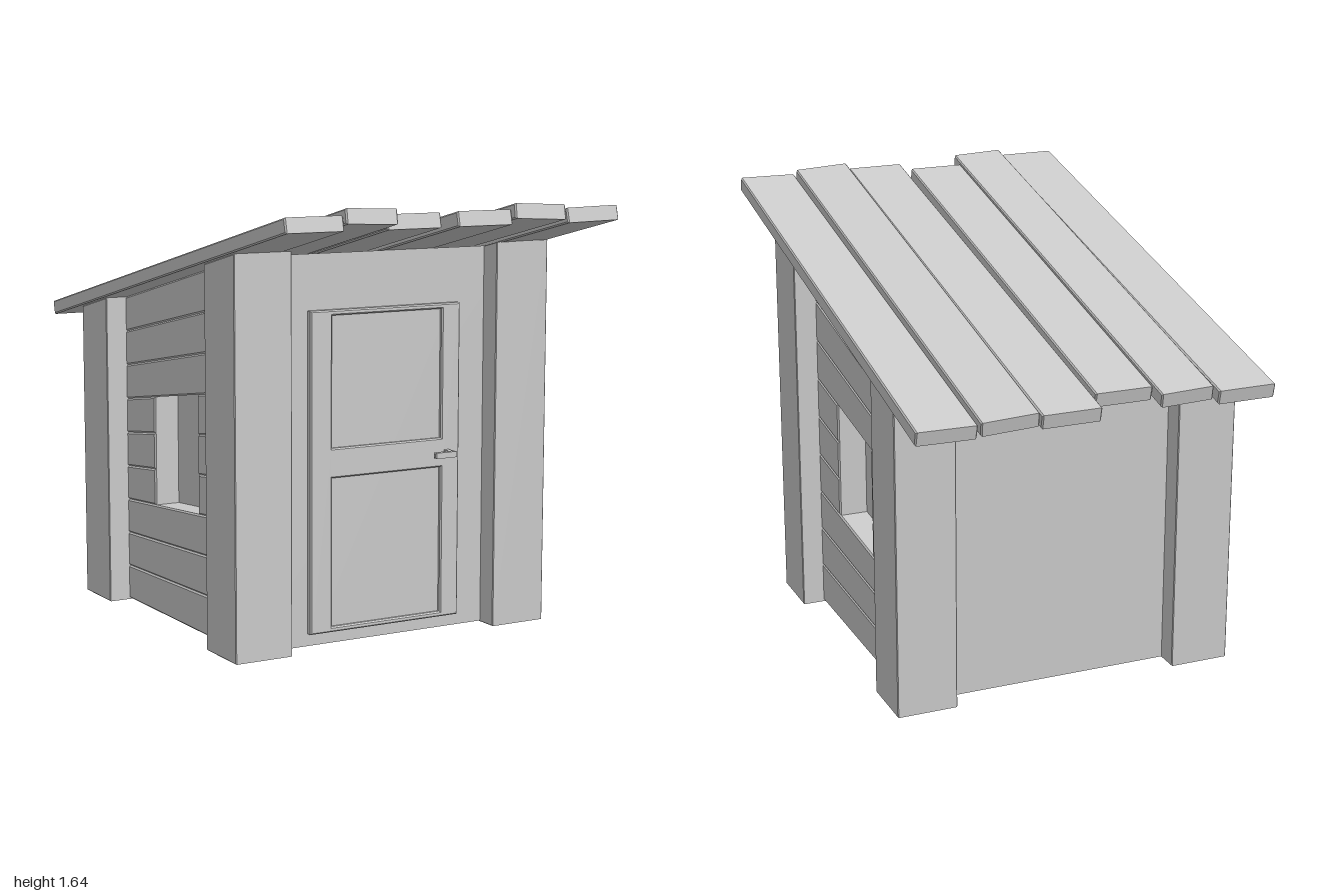
import * as THREE from 'three';

const material = new THREE.MeshStandardMaterial({ color: 0xcccccc });
const SLOPE = 0.23;
const roofY = (z) => 1.335 + SLOPE * z; // underside of the roof
const ROWS = 9;
const BASE = 0.004; // walls sit just above the post feet

function add(parent, name, geometry) {
  const mesh = new THREE.Mesh(geometry, material);
  mesh.name = name;
  parent.add(mesh);
  return mesh;
}

// Profile of [z, y] points extruded along x from x0 to x1, with a small chamfer.
function prism(points, x0, x1, bevel = 0) {
  const shape = new THREE.Shape(points.map(([z, y]) => new THREE.Vector2(-z, y)));
  const geometry = new THREE.ExtrudeGeometry(shape, {
    depth: x1 - x0 - 2 * bevel,
    bevelEnabled: bevel > 0,
    bevelThickness: bevel,
    bevelSize: bevel,
    bevelOffset: -bevel,
    bevelSegments: 1,
  });
  return geometry.translate(0, 0, x0 + bevel).rotateY(Math.PI / 2);
}

// Four-sided profile between z0 and z1 whose edges follow the given height rules.
const band = (z0, z1, low, high) => [[z0, low(z0)], [z0, high(z0)], [z1, high(z1)], [z1, low(z1)]];

function rectPath(PathType, x0, x1, y0, y1) {
  return new PathType([[x0, y0], [x1, y0], [x1, y1], [x0, y1]].map((p) => new THREE.Vector2(...p)));
}

export function createModel() {
  const model = new THREE.Group();
  model.name = 'shed';

  // Solid core and plain front wall
  add(model, 'core', prism(band(-0.6, 0.42, () => BASE, roofY), -0.475, 0.475));
  add(model, 'frontWall', prism(band(0.38, 0.475, () => BASE, roofY), -0.585, 0.585));

  // Corner posts with tops cut to the roof slope
  for (const [x0, x1] of [[-0.66, -0.43], [0.44, 0.67]]) {
    for (const [z0, z1] of [[0.33, 0.56], [-0.75, -0.52]]) {
      add(model, 'cornerPost', prism(band(z0, z1, () => 0, roofY), x0, x1, 0.003));
    }
  }

  // Side boards fan out with the roof; three rows stop at the window recess
  const rowLine = (i) => (z) => BASE + ((roofY(z) - BASE) * i) / ROWS;
  for (const [x0, x1] of [[-0.575, -0.46], [0.46, 0.585]]) {
    const side = new THREE.Group();
    side.name = 'sideWall';
    model.add(side);
    for (let i = 0; i < ROWS; i++) {
      const spans = i >= 3 && i <= 5 ? [[-0.6, -0.27], [0.1, 0.42]] : [[-0.6, 0.42]];
      for (const [z0, z1] of spans) {
        add(side, 'sideBoard', prism(band(z0, z1, rowLine(i), rowLine(i + 1)), x0, x1, 0.006));
      }
    }
  }

  // Back boards
  const backTop = roofY(-0.665);
  for (let i = 0; i < ROWS; i++) {
    const y0 = BASE + ((backTop - BASE) * i) / ROWS;
    const y1 = BASE + ((backTop - BASE) * (i + 1)) / ROWS;
    add(model, 'backBoard', prism(band(-0.665, -0.56, () => y0, () => y1), -0.57, 0.58, 0.006));
  }

  // Door leaf with two sunken panels
  const door = new THREE.Group();
  door.name = 'door';
  model.add(door);
  const leaf = rectPath(THREE.Shape, -0.32, 0.32, 0.05, 1.24);
  leaf.holes.push(rectPath(THREE.Path, -0.23, 0.24, 0.07, 0.625));
  leaf.holes.push(rectPath(THREE.Path, -0.23, 0.24, 0.735, 1.22));
  const leafGeometry = new THREE.ExtrudeGeometry(leaf, {
    depth: 0.025, bevelThickness: 0.005, bevelSize: 0.005, bevelOffset: -0.005, bevelSegments: 1,
  });
  add(door, 'doorLeaf', leafGeometry.translate(0, 0, 0.47));
  add(door, 'doorPanels', new THREE.BoxGeometry(0.56, 1.17, 0.03)).position.set(0, 0.645, 0.47);

  // Lever handle
  add(door, 'handleStem', new THREE.BoxGeometry(0.02, 0.02, 0.07)).position.set(0.262, 0.68, 0.525);
  add(door, 'handleLever', prism(band(0.54, 0.56, () => 0.669, () => 0.691), 0.18, 0.274, 0.004));

  // Roof planks: centre x, width, back z, front z, lift, yaw, roll
  const THICK = 0.054;
  const planks = [
    [-0.573, 0.225, -0.99, 0.98, 0, 0, 0],
    [-0.345, 0.202, -0.99, 0.98, 0.02, -0.007, -0.04],
    [-0.13, 0.22, -0.92, 0.905, 0.01, -0.007, 0],
    [0.106, 0.226, -0.99, 0.98, 0, 0, 0],
    [0.335, 0.215, -1, 0.99, 0.014, -0.003, -0.05],
    [0.568, 0.225, -0.99, 0.98, 0, 0, 0.02],
  ];
  const angle = Math.atan(SLOPE);
  const roof = new THREE.Group();
  roof.name = 'roof';
  model.add(roof);
  for (const [x, width, back, front, lift, yaw, roll] of planks) {
    const shift = THICK * Math.sin(angle);
    const half = (front - back - shift) / 2 / Math.cos(angle);
    const mid = (front + back + shift) / 2;
    const profile = band(-half, half, () => 0, () => THICK);
    const plank = add(roof, 'roofPlank', prism(profile, -width / 2, width / 2, 0.005));
    plank.position.set(x, roofY(mid) + lift, mid);
    plank.rotation.set(-angle, yaw, roll);
  }

  return model;
}
